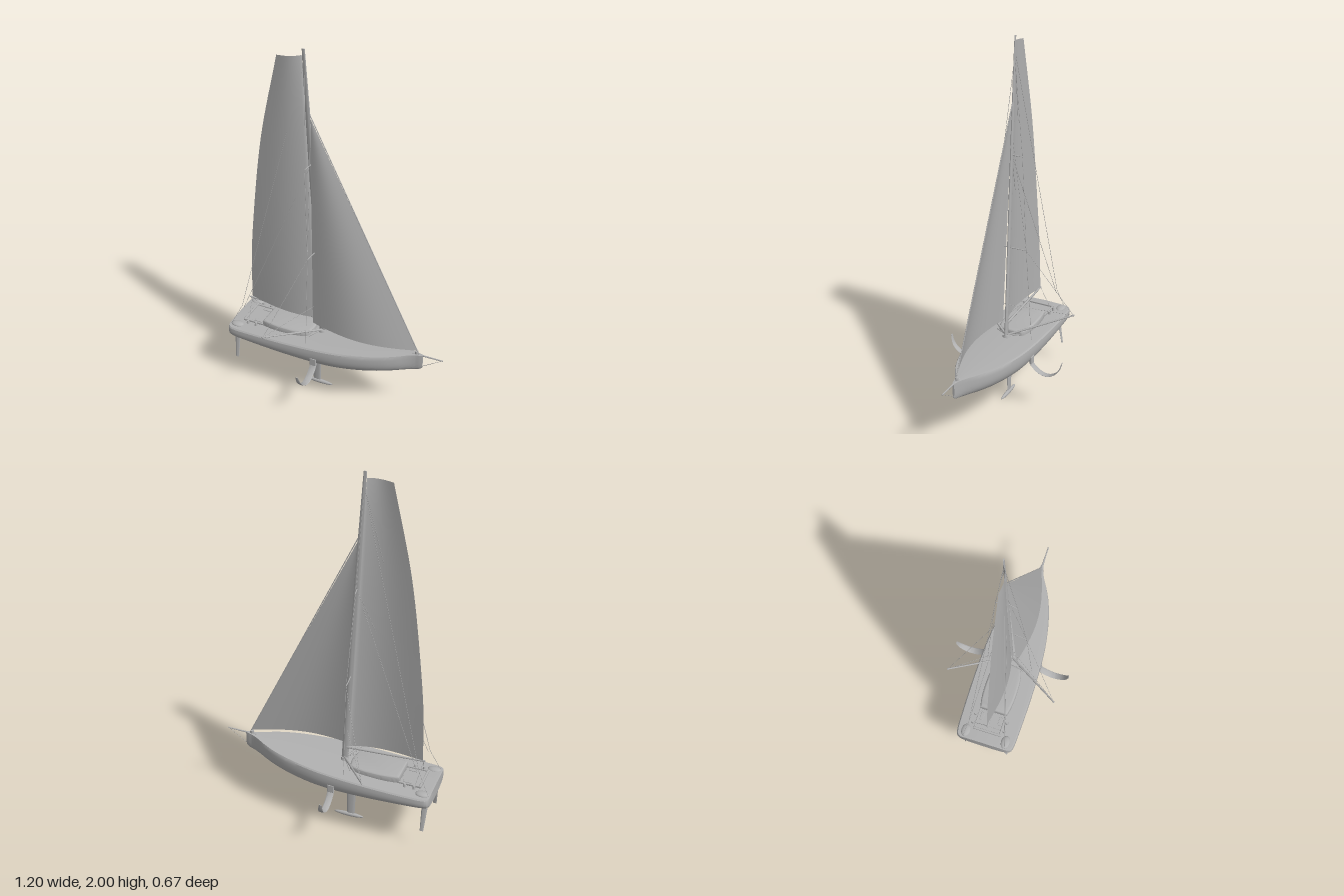
import * as THREE from 'three';
import { toCreasedNormals } from 'three/addons/utils/BufferGeometryUtils.js';
import { RoundedBoxGeometry } from 'three/addons/geometries/RoundedBoxGeometry.js';
import { ParametricGeometry } from 'three/addons/geometries/ParametricGeometry.js';

const V = (x, y, z) => new THREE.Vector3(x, y, z);

// Skin a list of equal-length closed rings and cap both ends
function loft(rings, crease = 0.6) {
  const n = rings[0].length;
  const tris = [];
  for (let i = 0; i < rings.length - 1; i++) {
    for (let j = 0; j < n; j++) {
      const k = (j + 1) % n;
      const [a, b, c, d] = [rings[i][j], rings[i][k], rings[i + 1][k], rings[i + 1][j]];
      tris.push([a, b, c], [a, c, d]);
    }
  }
  [rings[0], rings[rings.length - 1]].forEach((ring, end) => {
    const mid = ring.reduce((s, p) => s.add(p), V(0, 0, 0)).divideScalar(n);
    ring.forEach((p, j) => {
      const q = ring[(j + 1) % n];
      tris.push(end ? [mid, p, q] : [mid, q, p]);
    });
  });
  // turn the skin outward whichever way the rings run
  const volume = tris.reduce((s, [a, b, c]) => s + a.dot(b.clone().cross(c)), 0);
  if (volume < 0) tris.forEach((t) => t.reverse());
  const geo = new THREE.BufferGeometry().setFromPoints(tris.flat());
  return toCreasedNormals(geo, crease);
}

// Streamlined section: chord from x0 to x1, thickness t along a unit direction
function foilRing(x0, x1, y, z, t, dir = V(0, 0, 1)) {
  return Array.from({ length: 14 }, (_, i) => {
    const a = (i / 14) * Math.PI * 2;
    return V((x0 + x1) / 2 + ((x1 - x0) / 2) * Math.cos(a), y, z)
      .addScaledVector(dir, (t / 2) * Math.sin(a) * (1 + 0.3 * Math.cos(a)));
  });
}

export function createModel() {
  const model = new THREE.Group();
  const grey = new THREE.MeshStandardMaterial({ color: 0xb0b0b0 });
  grey.name = 'hull grey';
  const sailGrey = new THREE.MeshStandardMaterial({ color: 0xb0b0b0, side: THREE.DoubleSide });
  sailGrey.name = 'sail grey';

  const add = (name, geo, mat = grey, parent = model) => {
    const mesh = new THREE.Mesh(geo, mat);
    mesh.name = name;
    parent.add(mesh);
    return mesh;
  };
  const rod = (name, a, b, r = 0.0011, r2 = r, parent = model) => {
    const mesh = add(name, new THREE.CylinderGeometry(r2, r, a.distanceTo(b), r < 0.002 ? 5 : 10), grey, parent);
    mesh.position.copy(a).lerp(b, 0.5);
    mesh.quaternion.setFromUnitVectors(V(0, 1, 0), b.clone().sub(a).normalize());
    return mesh;
  };
  const box = (name, w, h, d, x, y, z, r = 0.003) => {
    const mesh = add(name, new RoundedBoxGeometry(w, h, d, 2, r));
    mesh.position.set(x, y, z);
    return mesh;
  };
  const sheer = (x) => 0.352 + 0.058 * Math.pow(Math.max(0, (x + 0.6) / 1.09), 1.4);

  // Hull: stations give x, half width and keel height
  const stations = new THREE.CatmullRomCurve3([
    [-0.6, 0.138, 0.278], [-0.592, 0.154, 0.272], [-0.57, 0.163, 0.268], [-0.45, 0.17, 0.257],
    [-0.25, 0.173, 0.242], [-0.08, 0.169, 0.235], [0.05, 0.158, 0.238], [0.2, 0.128, 0.255],
    [0.3, 0.094, 0.272], [0.36, 0.064, 0.284], [0.41, 0.034, 0.295], [0.45, 0.016, 0.306],
    [0.475, 0.01, 0.314], [0.49, 0.005, 0.326],
  ].map((p) => V(...p)), false, 'centripetal');
  const hullRings = stations.getPoints(65).map(({ x, y: w, z: yb }) => {
    const top = sheer(x);
    const half = [];
    const side = top - 0.024;
    for (let i = 0; i <= 14; i++) {
      const a = (i / 14) * (Math.PI / 2);
      half.push([w * Math.pow(Math.sin(a), 0.72), side - (side - yb) * Math.pow(Math.cos(a), 0.72)]);
    }
    half.push([w * 0.985, top - 0.007], [w * 0.95, top], [w * 0.6, top + w * 0.025], [0, top + w * 0.04]);
    const other = half.slice(1, -1).reverse().map(([z, y]) => [-z, y]);
    return half.concat(other).map(([z, y]) => V(x, y, z));
  });
  add('hull', loft(hullRings, 0.5));

  // Cabin roof: rounded plan with bevelled rim
  const plan = new THREE.Shape();
  plan.moveTo(-0.41, -0.07);
  plan.quadraticCurveTo(-0.35, -0.085, -0.27, -0.083);
  plan.quadraticCurveTo(-0.17, -0.082, -0.15, -0.06);
  plan.quadraticCurveTo(-0.135, 0, -0.15, 0.06);
  plan.quadraticCurveTo(-0.17, 0.082, -0.27, 0.083);
  plan.quadraticCurveTo(-0.35, 0.085, -0.41, 0.07);
  plan.closePath();
  const cabin = toCreasedNormals(new THREE.ExtrudeGeometry(plan, {
    depth: 0.034, bevelThickness: 0.012, bevelSize: 0.012, bevelOffset: -0.004, bevelSegments: 5, curveSegments: 12,
  }).rotateX(-Math.PI / 2), 0.6);
  add('cabinRoof', cabin).position.y = 0.353;

  // Cockpit frame and fittings
  box('cockpitAftBeam', 0.012, 0.014, 0.16, -0.533, 0.366, 0);
  box('cockpitFloor', 0.11, 0.004, 0.14, -0.475, 0.362, 0, 0.001);
  for (const s of [1, -1]) {
    box('cockpitCoaming', 0.12, 0.012, 0.01, -0.475, 0.365, s * 0.073);
    box('hatch', 0.045, 0.008, 0.02, -0.458, 0.364, s * 0.052, 0.002);
    const seat = add('helmSeat', new THREE.SphereGeometry(1, 20, 12));
    seat.scale.set(0.037, 0.012, 0.025);
    seat.position.set(-0.557, 0.355, s * 0.114);
    for (const x of [-0.505, -0.455]) {
      const winch = add('winch', new THREE.CylinderGeometry(0.006, 0.009, 0.02, 14));
      winch.position.set(x, 0.366, s * 0.09);
    }
  }

  // Keel fin and bulb
  add('keelFin', loft([foilRing(-0.157, -0.1, 0.245, 0, 0.01), foilRing(-0.15, -0.107, 0.015, 0, 0.008)]));
  const bulb = add('keelBulb', new THREE.SphereGeometry(1, 24, 12));
  bulb.scale.set(0.085, 0.012, 0.011);
  bulb.position.set(-0.117, 0.012, 0);

  for (const s of [1, -1]) {
    // Twin rudders splayed outward
    add('rudder', loft([
      foilRing(-0.588, -0.553, 0.285, s * 0.096, 0.007), foilRing(-0.576, -0.557, 0.125, s * 0.125, 0.004),
    ]));
    // Curved side foils
    const path = new THREE.CatmullRomCurve3([[0.28, 0.155], [0.252, 0.175], [0.226, 0.21], [0.216, 0.25],
      [0.23, 0.29], [0.262, 0.32], [0.31, 0.335]].map(([y, z]) => V(0, y, z * s)));
    const rings = [];
    for (let i = 0; i <= 24; i++) {
      const t = i / 24, p = path.getPoint(t), g = path.getTangent(t);
      const tip = Math.pow(t, 4);
      rings.push(foilRing(-0.09, -0.053 - 0.022 * tip, p.y, p.z, 0.006 - 0.003 * tip, V(0, -g.z, g.y)));
    }
    add('sideFoil', loft(rings));
    box('foilCase', 0.036, 0.045, 0.012, -0.072, 0.29, s * 0.163);
  }

  // Raked wing mast
  const mastX = (y) => -0.09 - 0.053 * (y - 0.38);
  const mastRings = [0.375, 0.9, 1.4, 1.7, 1.96, 2].map((y, i) => {
    const c = [0.019, 0.018, 0.016, 0.013, 0.009, 0.008][i];
    return foilRing(mastX(y) - c, mastX(y) + c, y, 0, c * 0.7);
  });
  add('mast', loft(mastRings));
  add('mastFoot', new THREE.CylinderGeometry(0.018, 0.024, 0.02, 16)).position.set(-0.09, 0.382, 0);

  // Boom and mainsail with curved leech
  rod('boom', V(-0.1, 0.458, 0), V(-0.532, 0.476, 0.004), 0.007, 0.005);
  const leech = new THREE.CatmullRomCurve3([V(-0.52, 0.478, 0), V(-0.509, 0.75, 0), V(-0.481, 1.02, 0),
    V(-0.413, 1.497, 0), V(-0.307, 1.955, 0)]);
  add('mainsail', new ParametricGeometry((u, v, p) => {
    const e = leech.getPoint(v);
    const y = 0.465 + 1.503 * v;
    p.set(THREE.MathUtils.lerp(mastX(y) - 0.01, e.x, u), THREE.MathUtils.lerp(y, e.y, u),
      0.032 * Math.sin(Math.PI * Math.pow(u, 0.8)) * (1 - 0.5 * v) + 0.02 * u * v);
  }, 16, 32), sailGrey);

  // Jib, its stay and furler
  add('jib', new ParametricGeometry((u, v, p) => {
    const y = 0.43 + 1.22 * v + 0.02 * u * (1 - v);
    p.set(THREE.MathUtils.lerp(0.46 - 0.605 * v, -0.13 - 0.015 * v, u), y,
      (1 - v) * (0.055 * Math.sin(Math.PI * u) + 0.04 * u));
  }, 18, 32), sailGrey);
  rod('forestay', V(0.468, 0.41, 0), V(-0.148, 1.67, 0), 0.0025);
  add('furler', new THREE.CylinderGeometry(0.009, 0.009, 0.016, 14)).position.set(0.455, 0.418, 0);

  // Bowsprit and bobstay
  rod('bowsprit', V(0.43, 0.406, 0), V(0.6, 0.409, 0), 0.005, 0.0035);
  rod('bobstay', V(0.595, 0.408, 0), V(0.488, 0.335, 0));

  // Outriggers, spreaders and rigging on both sides
  for (const s of [1, -1]) {
    const tip = V(-0.292, 0.485, s * 0.303);
    const low = V(mastX(0.9) - 0.01, 0.895, s * 0.095);
    const high = V(mastX(1.4) - 0.01, 1.395, s * 0.055);
    const quarter = V(-0.53, 0.478, s * 0.1);
    rod('outrigger', V(-0.09, 0.388, 0), tip, 0.006, 0.004);
    add('outriggerCap', new THREE.SphereGeometry(0.006, 10, 8)).position.copy(tip);
    rod('outriggerBrace', V(-0.15, 0.375, s * 0.085), V(-0.085, 0.395, 0), 0.003);
    rod('outriggerLift', tip, V(mastX(0.57), 0.57, 0));
    rod('lowerSpreader', V(mastX(0.9), 0.9, 0), low, 0.003, 0.002);
    rod('upperSpreader', V(mastX(1.4), 1.4, 0), high, 0.003, 0.002);
    rod('shroud', tip, low);
    rod('shroud', low, high);
    rod('shroud', high, V(mastX(1.9), 1.9, 0));
    rod('sideShroud', V(-0.13, 0.37, s * 0.13), low);
    rod('diagonalShroud', low, V(mastX(1.5), 1.5, 0));
    rod('backstay', V(mastX(1.93), 1.93, 0), quarter);
    rod('backstayTail', quarter, V(-0.592, 0.352, s * 0.12));
    rod('runningStay', V(mastX(1.4), 1.4, 0), V(-0.52, 0.47, s * 0.1));
    rod('mainsheet', V(-0.525, 0.474, 0), V(-0.505, 0.365, s * 0.075));
  }
  return model;
}
